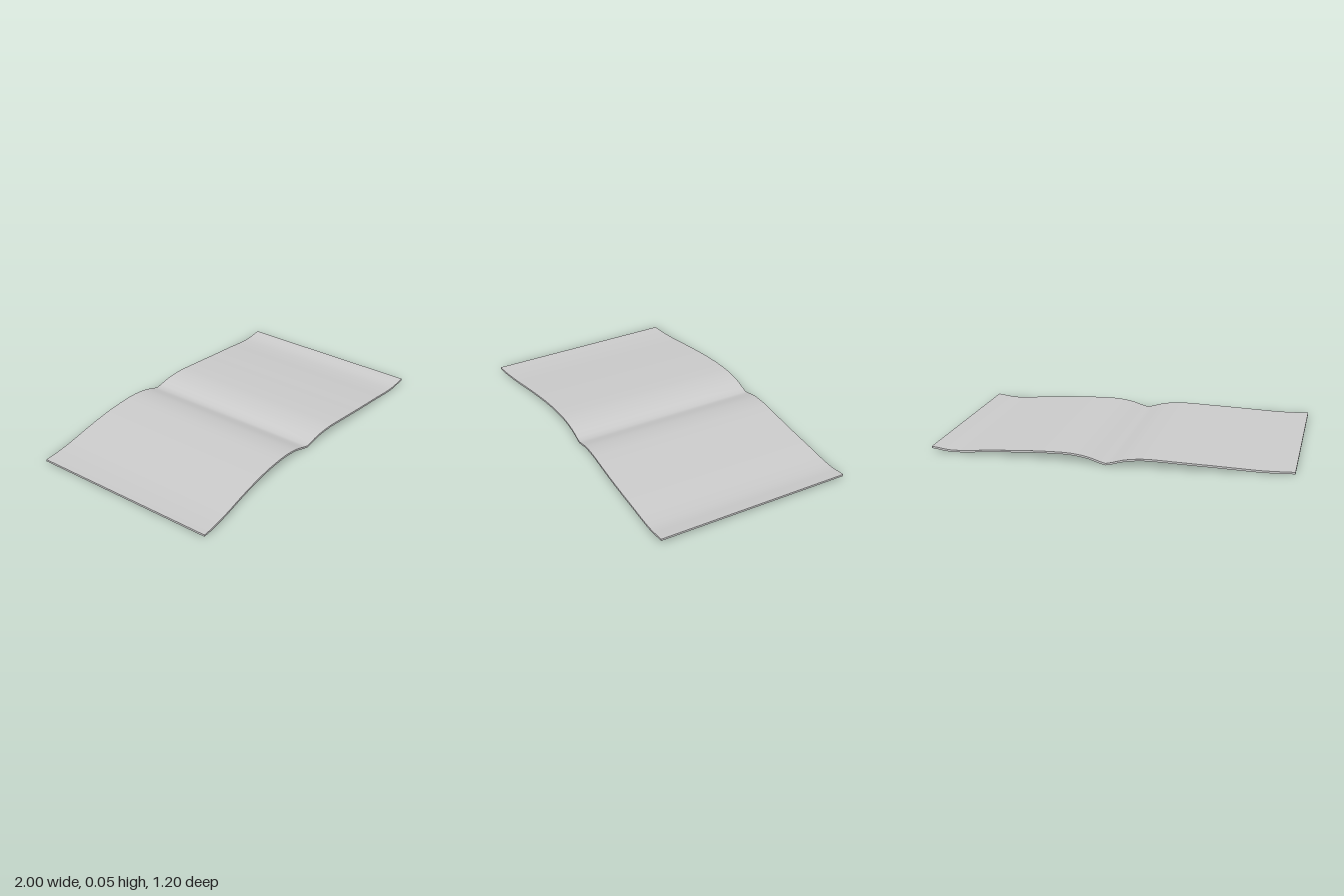
import * as THREE from 'three';

// Smooth curve through evenly spaced values, sampled at u in 0..1
function profile(values) {
  const curve = new THREE.SplineCurve(values.map((v, i) => new THREE.Vector2(i, v)));
  return (u) => curve.getPoint(u).y;
}

export function createModel() {
  const group = new THREE.Group();
  const thickness = 0.011;
  const depth = 1.123;

  // Mid-surface height of each page, from the spine (x = 0) outwards in steps of 0.1
  const leftPage = profile([0.011, 0.038, 0.05, 0.049, 0.045, 0.039, 0.033, 0.026, 0.017, 0.015, 0.028]);
  const rightPage = profile([0.011, 0.038, 0.05, 0.049, 0.044, 0.038, 0.031, 0.023, 0.015, 0.011, 0.011]);
  // Sideways sweep of the front edge, from x = -1 to x = 1
  const frontEdge = profile([0.6, 0.577, 0.55, 0.529, 0.522, 0.523, 0.536, 0.546, 0.549, 0.548, 0.548]);

  // Thin slab bent along its length
  const geometry = new THREE.BoxGeometry(2, thickness, depth, 60, 1, 1);
  const pos = geometry.attributes.position;
  for (let i = 0; i < pos.count; i++) {
    const x = pos.getX(i);
    const height = x >= 0 ? leftPage(Math.min(x, 1)) : rightPage(Math.min(-x, 1));
    pos.setY(i, pos.getY(i) + height);
    pos.setZ(i, pos.getZ(i) + frontEdge((x + 1) / 2) - depth / 2);
  }
  geometry.computeVertexNormals();

  const pages = new THREE.Mesh(geometry, new THREE.MeshStandardMaterial({ color: 0xcccccc }));
  pages.name = 'openPages';
  group.add(pages);
  return group;
}
